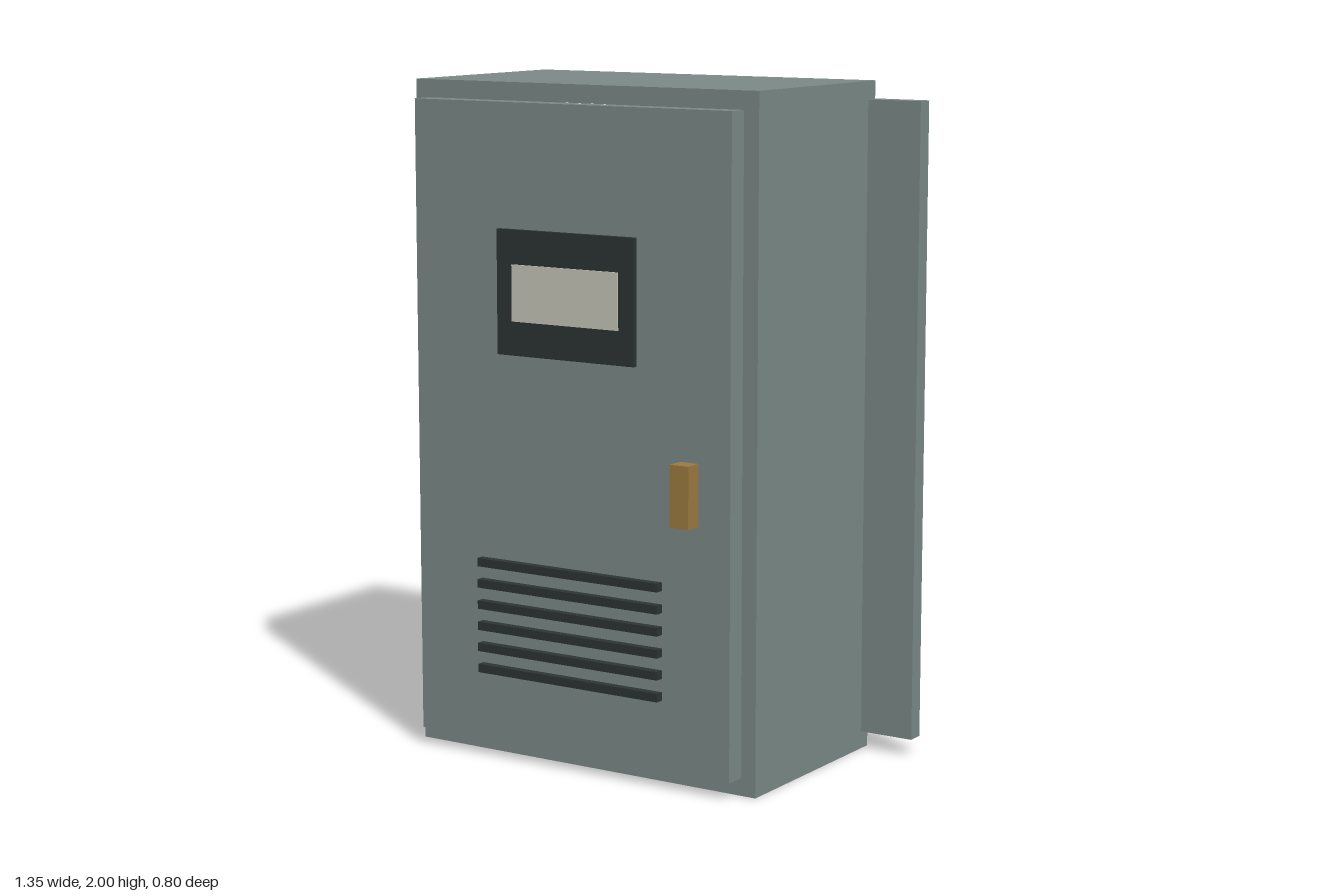
import * as THREE from 'three';

const paint = new THREE.MeshStandardMaterial({ name: 'greyGreenPaint', color: 0x7b8987 });
const dark = new THREE.MeshStandardMaterial({ name: 'darkTrim', color: 0x2c3434 });
const pale = new THREE.MeshStandardMaterial({ name: 'paleScreen', color: 0xc4c4b8 });
const brass = new THREE.MeshStandardMaterial({ name: 'brass', color: 0x9c7a40 });

// Box given by its limits on each axis
function box(name, material, [x0, x1], [y0, y1], [z0, z1]) {
  const mesh = new THREE.Mesh(new THREE.BoxGeometry(x1 - x0, y1 - y0, z1 - z0), material);
  mesh.position.set((x0 + x1) / 2, (y0 + y1) / 2, (z0 + z1) / 2);
  mesh.name = name;
  return mesh;
}

export function createModel() {
  const model = new THREE.Group();
  model.name = 'controlCabinet';

  // Hollow shell, open at front and back
  const left = 0.503, right = -0.675, wall = 0.05;
  const depth = [-0.39, 0.263], inner = [0.053, 1.947];
  const shell = new THREE.Group();
  shell.name = 'shell';
  shell.add(
    box('floor', paint, [right, left], [0, inner[0]], depth),
    box('roof', paint, [right, left], [inner[1], 2], depth),
    box('rightWall', paint, [right, right + wall], inner, depth),
    box('leftWall', paint, [left - wall, left], inner, depth),
  );
  model.add(shell);

  // Back panel slid sideways past the shell
  model.add(box('backPanel', paint, [-0.397, 0.675], inner, [-0.4, -0.349]));

  // Door standing just off the shell, with its fittings
  const door = new THREE.Group();
  door.name = 'door';
  door.add(
    box('doorPanel', paint, [-0.63, 0.457], inner, [0.267, 0.33]),
    box('displayFrame', dark, [-0.323, 0.15], [1.22, 1.585], [0.337, 0.352]),
    box('displayScreen', pale, [-0.268, 0.098], [1.32, 1.485], [0.345, 0.357]),
    box('handle', brass, [0.301, 0.363], [0.786, 0.965], [0.346, 0.4]),
  );
  for (let i = 0; i < 6; i++) {
    const y = 0.274 + i * 0.0642;
    door.add(box('ventSlat', dark, [-0.402, 0.23], [y - 0.0125, y + 0.0125], [0.33, 0.355]));
  }
  model.add(door);
  return model;
}
